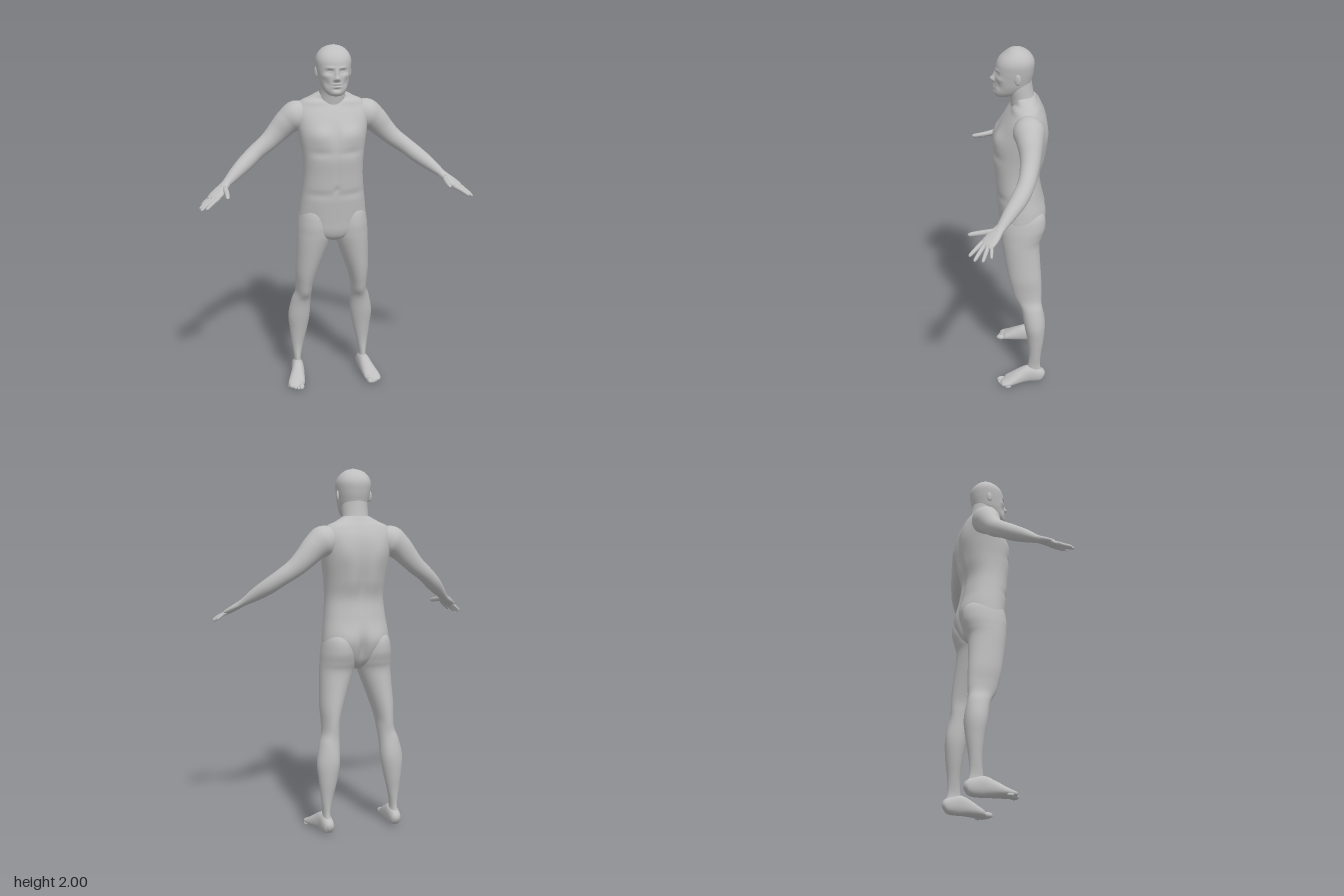
import * as THREE from 'three';

const skin = new THREE.MeshStandardMaterial({ color: 0xbebebe });
skin.name = 'plain grey';

// Catmull-Rom resampling of a list of rings (arrays of equal length)
function resample(rings, per) {
  const out = [], n = rings.length;
  for (let i = 0; i < n - 1; i++) {
    const a = rings[Math.max(i - 1, 0)], b = rings[i], c = rings[i + 1], d = rings[Math.min(i + 2, n - 1)];
    for (let k = 0; k < per; k++) {
      const t = k / per;
      out.push(b.map((v, j) => v + 0.5 * t * (c[j] - a[j] + t * (2 * a[j] - 5 * v + 4 * c[j] - d[j]
        + t * (3 * (v - c[j]) + d[j] - a[j])))));
    }
  }
  out.push(rings[n - 1]);
  return out;
}

// Skin over rings [x, y, z, sideRadius, otherRadius]; upright keeps every section level
function loft(rings, { seg = 32, per = 6, power = 2, upright = false } = {}) {
  const R = resample(rings, per), pos = [], idx = [], n = R.length;
  const at = (r) => new THREE.Vector3(r[0], r[1], r[2]);
  const Y = new THREE.Vector3(0, 1, 0);
  R.forEach((r, i) => {
    let U = new THREE.Vector3(0, 0, 1), V = new THREE.Vector3(1, 0, 0);
    if (!upright) {
      const T = at(R[Math.min(i + 1, n - 1)]).sub(at(R[Math.max(i - 1, 0)])).normalize();
      U = T.clone().cross(Y).normalize();
      V = T.clone().cross(U);
    }
    for (let j = 0; j < seg; j++) {
      const a = (j / seg) * Math.PI * 2, c = Math.cos(a), s = Math.sin(a);
      const p = at(r).addScaledVector(U, Math.sign(c) * Math.abs(c) ** (2 / power) * r[3])
        .addScaledVector(V, Math.sign(s) * Math.abs(s) ** (2 / power) * r[4]);
      pos.push(p.x, p.y, p.z);
    }
  });
  for (let i = 0; i < n - 1; i++) for (let j = 0; j < seg; j++) {
    const a = i * seg + j, b = i * seg + (j + 1) % seg;
    idx.push(a, b, b + seg, a, b + seg, a + seg);
  }
  // Closed ends
  const first = pos.length / 3, last = (n - 1) * seg;
  pos.push(...R[0].slice(0, 3), ...R[n - 1].slice(0, 3));
  for (let j = 0; j < seg; j++) {
    const k = (j + 1) % seg;
    idx.push(first, k, j, first + 1, last + j, last + k);
  }
  const g = new THREE.BufferGeometry();
  g.setAttribute('position', new THREE.Float32BufferAttribute(pos, 3));
  g.setIndex(idx);
  g.computeVertexNormals();
  return g;
}

// Level sections written as [y, left edge, right edge, front z, back z]
const level = (rows) => rows.map(([y, x0, x1, f, b]) => [(x0 + x1) / 2, y, (f + b) / 2, (f - b) / 2, (x1 - x0) / 2]);
const centred = (rows) => level(rows.map(([y, w, f, b]) => [y, -w, w, f, b]));

// Push the surface along its normals with soft bumps [x, y, z, sx, sy, sz, amount], both sides alike
function sculpt(g, bumps) {
  const p = g.attributes.position, nm = g.attributes.normal;
  for (let i = 0; i < p.count; i++) {
    const x = p.getX(i), y = p.getY(i), z = p.getZ(i);
    let d = 0;
    for (const [bx, by, bz, sx, sy, sz, amt] of bumps) {
      d += amt * Math.exp(-(((Math.abs(x) - bx) / sx) ** 2) - ((y - by) / sy) ** 2 - ((z - bz) / sz) ** 2);
    }
    p.setXYZ(i, x + nm.getX(i) * d, y + nm.getY(i) * d, z + nm.getZ(i) * d);
  }
  g.computeVertexNormals();
  return g;
}

function mirrored(g) {
  const m = g.clone();
  m.scale(-1, 1, 1);
  const ix = m.index;
  for (let i = 0; i < ix.count; i += 3) {
    const b = ix.getX(i + 1);
    ix.setX(i + 1, ix.getX(i + 2));
    ix.setX(i + 2, b);
  }
  m.computeVertexNormals();
  return m;
}

function ellipsoid(x, y, z, rx, ry, rz, turn = 0) {
  const g = new THREE.SphereGeometry(1, 20, 14);
  g.scale(rx, ry, rz);
  g.rotateY(turn);
  return g.translate(x, y, z);
}

export function createModel() {
  const model = new THREE.Group();
  model.name = 'standingFigure';
  const add = (name, g) => {
    const m = new THREE.Mesh(g, skin);
    m.name = name;
    model.add(m);
  };
  const pair = (name, g) => {
    add('left' + name, g);
    add('right' + name, mirrored(g));
  };

  // Torso: pelvis to base of neck
  add('torso', sculpt(loft(centred([
    [0.905, 0.03, -0.01, -0.1], [0.93, 0.11, 0.028, -0.14], [0.97, 0.17, 0.045, -0.175], [1.03, 0.191, 0.051, -0.198],
    [1.1, 0.188, 0.058, -0.204], [1.2, 0.175, 0.068, -0.185], [1.3, 0.167, 0.076, -0.172], [1.4, 0.172, 0.086, -0.195],
    [1.5, 0.187, 0.078, -0.211], [1.58, 0.2, 0.046, -0.21], [1.64, 0.203, 0.012, -0.198], [1.69, 0.175, -0.022, -0.175],
    [1.715, 0.125, -0.035, -0.158], [1.745, 0.07, -0.03, -0.14],
  ]), { seg: 96, per: 8, power: 2.25, upright: true }), [
    [0.085, 1.53, 0.07, 0.06, 0.05, 0.06, 0.013], // chest
    [0, 1.51, 0.08, 0.018, 0.09, 0.05, -0.007],
    [0.09, 1.43, 0.08, 0.08, 0.02, 0.05, -0.006],
    [0, 1.35, 0.08, 0.012, 0.12, 0.05, -0.004], // belly
    [0, 1.22, 0.07, 0.012, 0.014, 0.04, -0.009],
    [0.1, 1.19, 0.06, 0.12, 0.02, 0.06, -0.005],
    [0.12, 1.0, 0.03, 0.03, 0.07, 0.05, -0.006],
    [0, 1.38, -0.2, 0.025, 0.22, 0.06, -0.014], // spine
    [0.1, 1.55, -0.2, 0.05, 0.07, 0.05, 0.007], // shoulder blades
    [0.06, 1.36, -0.19, 0.03, 0.15, 0.05, 0.005],
    [0.085, 1.07, -0.2, 0.06, 0.06, 0.06, 0.009], // buttocks
    [0, 1.02, -0.19, 0.018, 0.09, 0.07, -0.025],
    [0.1, 1.69, -0.03, 0.06, 0.015, 0.04, 0.006], // collar bones
  ]));

  add('neck', loft(centred([
    [1.64, 0.085, -0.02, -0.17], [1.7, 0.078, -0.012, -0.155], [1.74, 0.073, -0.005, -0.138],
    [1.79, 0.073, 0.01, -0.128], [1.85, 0.07, 0.01, -0.12],
  ]), { seg: 48, upright: true }));

  // Head with face
  add('head', sculpt(loft(centred([
    [1.738, 0.018, 0.058, 0.01], [1.744, 0.04, 0.068, -0.025], [1.765, 0.061, 0.074, -0.075], [1.8, 0.077, 0.073, -0.112],
    [1.84, 0.086, 0.069, -0.126], [1.88, 0.093, 0.066, -0.134], [1.92, 0.096, 0.06, -0.137], [1.95, 0.087, 0.043, -0.127],
    [1.975, 0.067, 0.015, -0.105], [1.991, 0.041, -0.008, -0.078], [2.0, 0.006, -0.032, -0.044],
  ]), { seg: 112, per: 11, power: 2.15, upright: true }), [
    [0, 1.832, 0.07, 0.012, 0.013, 0.04, 0.022], // nose
    [0, 1.855, 0.07, 0.009, 0.024, 0.04, 0.012],
    [0.012, 1.826, 0.07, 0.007, 0.008, 0.03, 0.006],
    [0.034, 1.868, 0.055, 0.018, 0.012, 0.03, -0.013], // eyes
    [0.034, 1.867, 0.055, 0.011, 0.007, 0.03, 0.007],
    [0.032, 1.888, 0.06, 0.022, 0.007, 0.03, 0.005], // brows
    [0.055, 1.845, 0.04, 0.018, 0.014, 0.03, 0.005], // cheeks
    [0.05, 1.805, 0.05, 0.018, 0.02, 0.03, -0.006],
    [0, 1.803, 0.07, 0.02, 0.005, 0.03, 0.006], // lips
    [0, 1.797, 0.07, 0.024, 0.0035, 0.03, -0.005],
    [0, 1.79, 0.07, 0.017, 0.006, 0.03, 0.006],
    [0, 1.776, 0.07, 0.022, 0.007, 0.03, -0.005],
    [0, 1.757, 0.07, 0.02, 0.011, 0.03, 0.004], // chin
  ]));

  pair('Ear', ellipsoid(0.093, 1.853, -0.047, 0.008, 0.03, 0.018, -0.35));

  pair('Arm', loft([
    [0.12, 1.635, -0.1, 0.055, 0.055], [0.19, 1.612, -0.102, 0.082, 0.084], [0.245, 1.578, -0.106, 0.07, 0.072],
    [0.3, 1.523, -0.108, 0.056, 0.06], [0.355, 1.471, -0.1, 0.049, 0.051], [0.425, 1.42, -0.08, 0.045, 0.045],
    [0.485, 1.373, -0.045, 0.045, 0.043], [0.545, 1.328, 0, 0.037, 0.035], [0.598, 1.287, 0.042, 0.027, 0.022],
    [0.625, 1.268, 0.064, 0.027, 0.017],
  ], { seg: 40, per: 8 }));

  // Hand: palm, then fingers as [root, middle, tip, thickness]
  pair('Palm', loft([
    [0.59, 1.292, 0.037, 0.022, 0.018], [0.615, 1.273, 0.06, 0.03, 0.018], [0.645, 1.25, 0.088, 0.041, 0.016],
    [0.672, 1.23, 0.113, 0.042, 0.013], [0.684, 1.221, 0.124, 0.034, 0.008],
  ], { seg: 28, power: 2.4 }));
  const fingers = {
    Thumb: [[0.612, 1.268, 0.08], [0.6, 1.254, 0.145], [0.606, 1.246, 0.21], 0.014],
    IndexFinger: [[0.648, 1.23, 0.135], [0.688, 1.212, 0.172], [0.718, 1.19, 0.203], 0.011],
    MiddleFinger: [[0.664, 1.229, 0.122], [0.71, 1.207, 0.153], [0.746, 1.178, 0.178], 0.011],
    RingFinger: [[0.678, 1.228, 0.107], [0.72, 1.205, 0.123], [0.752, 1.176, 0.137], 0.0105],
    LittleFinger: [[0.688, 1.228, 0.092], [0.716, 1.21, 0.094], [0.739, 1.187, 0.094], 0.009],
  };
  for (const [name, [a, b, c, r]] of Object.entries(fingers)) {
    const curve = new THREE.QuadraticBezierCurve3(...[a, b, c].map((p) => new THREE.Vector3(...p)));
    const sizes = [[0, 1.1], [0.3, 1], [0.6, 0.92], [0.85, 0.8], [0.95, 0.6], [1, 0.12]];
    pair(name, loft(sizes.map(([t, k]) => [...curve.getPoint(t).toArray(), r * k, r * k]), { seg: 16, per: 3 }));
  }

  // Legs: hip to ankle
  pair('Leg', sculpt(loft(level([
    [0.02, 0.185, 0.22, -0.13, -0.19], [0.06, 0.179, 0.224, -0.108, -0.198], [0.12, 0.181, 0.223, -0.115, -0.186],
    [0.2, 0.166, 0.233, -0.12, -0.19], [0.3, 0.142, 0.245, -0.108, -0.204], [0.4, 0.125, 0.253, -0.09, -0.209],
    [0.5, 0.121, 0.234, -0.073, -0.2], [0.56, 0.117, 0.213, -0.048, -0.191], [0.62, 0.111, 0.21, -0.022, -0.188],
    [0.7, 0.088, 0.214, 0, -0.185], [0.8, 0.053, 0.21, 0.02, -0.178], [0.9, 0.017, 0.206, 0.037, -0.174],
    [0.95, 0.004, 0.204, 0.043, -0.188], [1.01, 0.004, 0.2, 0.046, -0.205], [1.08, 0.015, 0.186, 0.035, -0.198],
    [1.14, 0.05, 0.15, 0, -0.15],
  ]), { seg: 48, per: 7, upright: true }), [
    [0.165, 0.57, -0.04, 0.03, 0.035, 0.04, 0.006], // kneecap
    [0.165, 0.53, -0.2, 0.03, 0.05, 0.03, -0.006],
    [0.155, 0.4, -0.2, 0.03, 0.07, 0.04, 0.005], // calf
  ]));

  // Feet: heel to ball, then toes
  pair('Foot', loft([
    [0.2, 0.035, -0.212, 0.008, 0.01], [0.2, 0.04, -0.2, 0.027, 0.034], [0.202, 0.048, -0.17, 0.034, 0.048],
    [0.204, 0.055, -0.12, 0.036, 0.055], [0.212, 0.045, -0.07, 0.041, 0.045], [0.224, 0.031, -0.02, 0.047, 0.031],
    [0.232, 0.021, 0.015, 0.048, 0.021], [0.229, 0.016, 0.038, 0.038, 0.014], [0.227, 0.014, 0.05, 0.012, 0.005],
  ], { seg: 32, power: 2.2 }));
  for (let i = 0; i < 5; i++) {
    const r = i === 0 ? 0.016 : 0.0125 - i * 0.0007;
    pair('Toe' + (i + 1), ellipsoid(0.206 + i * 0.0165, r, 0.045 - i * i * 0.0025, r, r, 0.026 - i * 0.002, 0.2));
  }
  return model;
}
